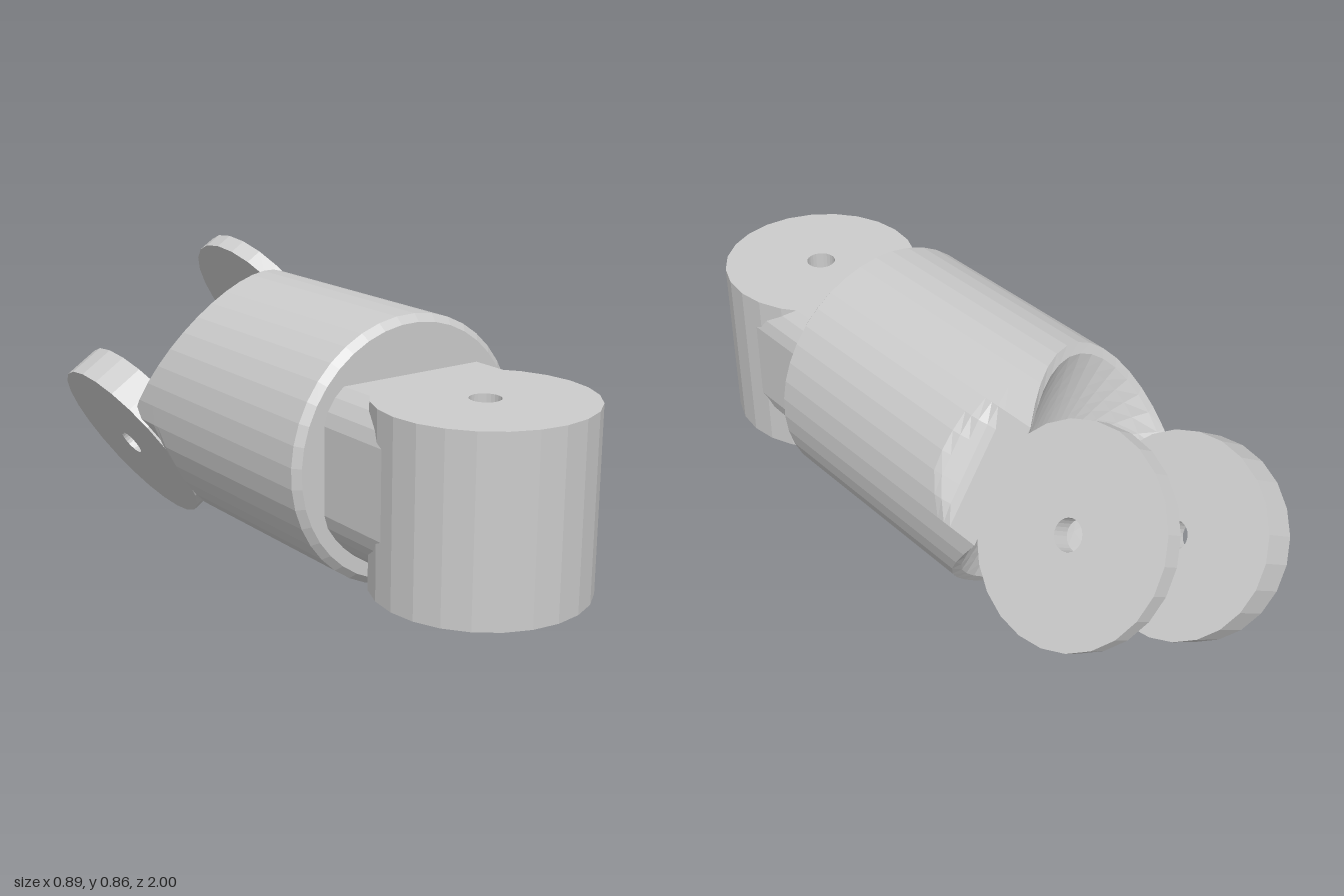
import * as THREE from 'three';

const AXIS_Y = 0.435;   // height of the body axis
const TILT = 0.575;     // roll of the fork about the body axis
const mat = new THREE.MeshStandardMaterial({ color: 0xcccccc, flatShading: true });
const clamp = THREE.MathUtils.clamp;

function add(group, name, geometry) {
  const mesh = new THREE.Mesh(geometry, mat);
  mesh.name = name;
  group.add(mesh);
  return mesh;
}

// Round plate with a central pin hole, extruded along z
function holedDisc(radius, hole, depth, segments) {
  const shape = new THREE.Shape().absarc(0, 0, radius, 0, Math.PI * 2, false);
  shape.holes.push(new THREE.Path().absarc(0, 0, hole, 0, Math.PI * 2, true));
  return new THREE.ExtrudeGeometry(shape, { depth, bevelEnabled: false, curveSegments: segments });
}

// Depth of the concave saddle at the back of the body
const saddleZ = x => -0.7 + Math.sqrt(0.16 - x * x);

// Body: bevelled front, round wall with flattened sides, bevelled saddle end
function bodyGeometry() {
  const N = 40, R = 0.38, wallSteps = 10, saddleSteps = 8;
  const rings = [];
  const ring = fn => {
    const pts = [];
    for (let j = 0; j < N; j++) {
      const a = j / N * Math.PI * 2;
      pts.push(fn(Math.cos(a), Math.sin(a)));
    }
    rings.push(pts);
  };
  const flatX = (c, z) => {
    const limit = THREE.MathUtils.mapLinear(clamp(z, -0.36, -0.27), -0.36, -0.27, 0.338, R);
    return clamp(c * R, -limit, limit);
  };
  for (const [r, z] of [[0, 0.405], [0.36, 0.405], [R, 0.385]]) ring((c, s) => [c * r, s * r, z]);
  for (let k = 0; k <= wallSteps; k++) ring((c, s) => {
    const end = saddleZ(clamp(c * R, -0.338, 0.338)) + 0.02;
    const z = THREE.MathUtils.lerp(-0.22, end, k / wallSteps);
    return [flatX(c, z), s * R, z];
  });
  for (let k = 0; k <= saddleSteps; k++) ring((c, s) => {
    const t = 1 - k / saddleSteps;
    const x = clamp(c * 0.355, -0.325, 0.325) * t;
    return [x, s * 0.355 * t, saddleZ(x)];
  });

  const index = [];
  for (let i = 0; i < rings.length - 1; i++) for (let j = 0; j < N; j++) {
    const a = i * N + j, b = i * N + (j + 1) % N, c = b + N, d = a + N;
    index.push(a, d, b, b, d, c);
  }
  const g = new THREE.BufferGeometry();
  g.setAttribute('position', new THREE.Float32BufferAttribute(rings.flat(2), 3));
  g.setIndex(index);
  const flat = g.toNonIndexed();
  flat.computeVertexNormals();
  return flat;
}

// Root of the tongue: round bar trimmed flat above, below and at the sides
function rootGeometry() {
  const pts = [];
  for (let i = 0; i < 48; i++) {
    const a = i / 48 * Math.PI * 2;
    pts.push(new THREE.Vector2(
      clamp(Math.cos(a) * 0.32, -0.288, 0.288),
      clamp(Math.sin(a) * 0.32, -0.29, 0.22)));
  }
  return new THREE.ExtrudeGeometry(new THREE.Shape(pts), { depth: 0.27, bevelEnabled: false });
}

export function createModel() {
  const model = new THREE.Group();
  model.name = 'jointLink';

  // Body and fork share one tilted frame
  const fork = new THREE.Group();
  fork.name = 'bodyAndFork';
  fork.position.y = AXIS_Y;
  fork.rotation.z = TILT;
  model.add(fork);
  add(fork, 'body', bodyGeometry());

  // Fork ears: [name, inner x, thickness, centre z, radius]
  for (const [name, x, depth, z, r] of [
    ['rearLeftEar', 0.284, 0.054, -0.71, 0.29],
    ['rearRightEar', -0.345, 0.115, -0.655, 0.295],
  ]) {
    const ear = add(fork, name, holedDisc(r, 0.043, depth, 12));
    ear.rotation.y = Math.PI / 2;
    ear.position.set(x, 0, z);
  }

  // Front tongue: upright round eye with its root
  const eye = add(model, 'tongueEye', holedDisc(0.295, 0.043, 0.51, 12));
  eye.rotation.x = -Math.PI / 2;
  eye.position.set(0, 0.145, 0.7);
  const root = add(model, 'tongueRoot', rootGeometry());
  root.position.set(0, AXIS_Y, 0.38);

  return model;
}
